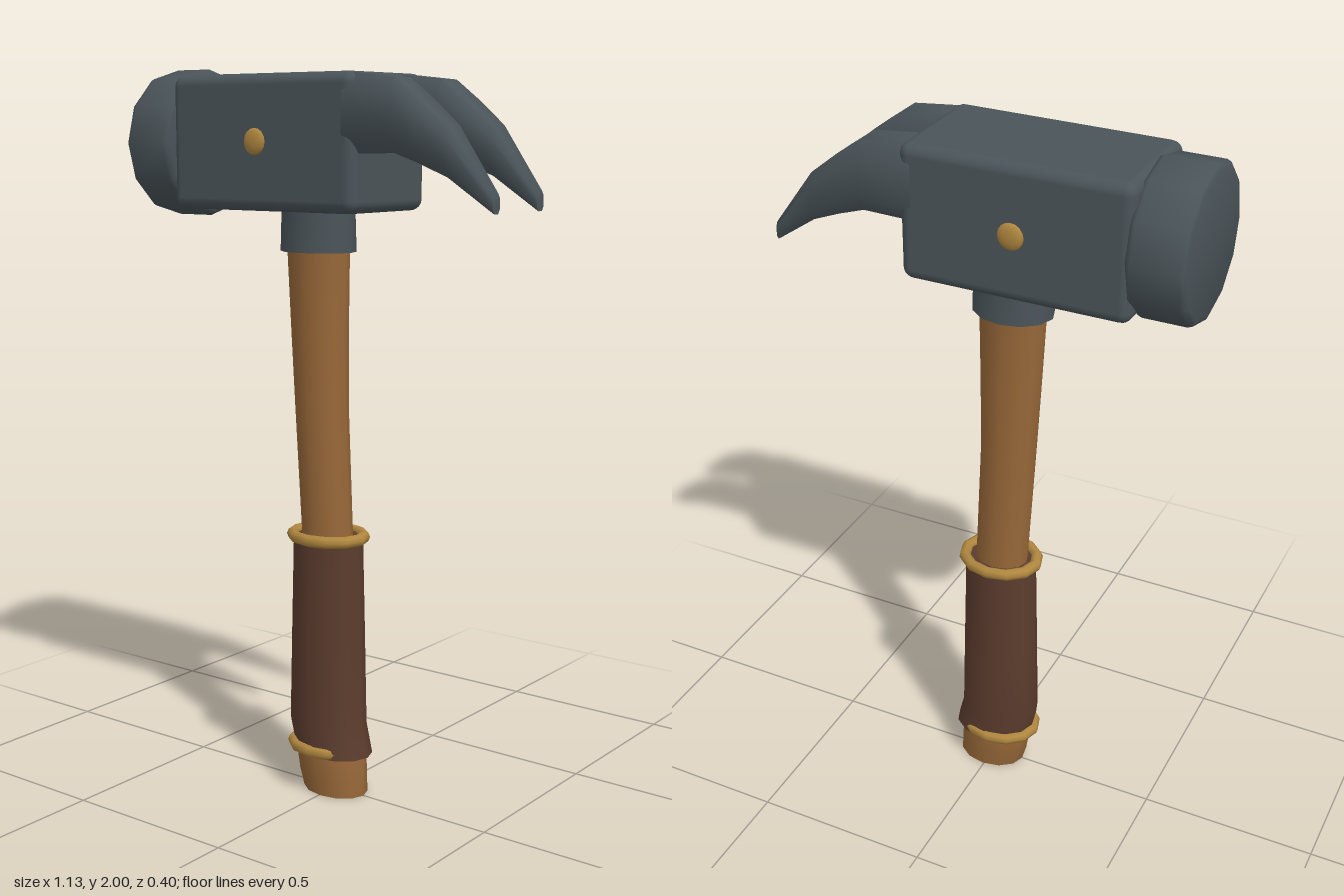
import * as THREE from 'three';
import { toCreasedNormals } from 'three/addons/utils/BufferGeometryUtils.js';
import { RoundedBoxGeometry } from 'three/addons/geometries/RoundedBoxGeometry.js';

const CREASE = 0.9;

function material(name, color) {
  const m = new THREE.MeshStandardMaterial({ color });
  m.name = name;
  return m;
}

// Unit cross-sections, counter-clockwise about +y
const round = Array.from({ length: 12 }, (_, i) => {
  const a = (i / 12) * Math.PI * 2;
  return [Math.sin(a), Math.cos(a)];
});
const octagon = [[-0.55, 1], [0.55, 1], [1, 0.55], [1, -0.55], [0.55, -1], [-0.55, -1], [-1, -0.55], [-1, 0.55]];

// Closed solid through sections [height, minX, maxX, halfZ]
function loft(sections, shape) {
  const n = shape.length, pos = [], index = [];
  for (const [y, x0, x1, hz] of sections)
    for (const [sx, sz] of shape) pos.push((x0 + x1) / 2 + (sx * (x1 - x0)) / 2, y, sz * hz);
  const last = sections.length - 1;
  for (let i = 0; i < last; i++)
    for (let j = 0; j < n; j++) {
      const k = (j + 1) % n, a = i * n + j, b = i * n + k;
      index.push(a, b, b + n, a, b + n, a + n);
    }
  // End caps
  for (const i of [0, last]) {
    const [y, x0, x1] = sections[i], c = pos.length / 3;
    pos.push((x0 + x1) / 2, y, 0);
    for (let j = 0; j < n; j++) {
      const a = i * n + j, b = i * n + ((j + 1) % n);
      if (i === 0) index.push(c, b, a);
      else index.push(c, a, b);
    }
  }
  const g = new THREE.BufferGeometry();
  g.setAttribute('position', new THREE.Float32BufferAttribute(pos, 3));
  g.setIndex(index);
  return toCreasedNormals(g, CREASE);
}

export function createModel() {
  const model = new THREE.Group();
  model.name = 'clawHammer';
  const steel = material('dark steel', 0x4a5459);
  const wood = material('wood', 0x986839);
  const leather = material('brown leather', 0x5c3c2e);
  const brass = material('brass', 0xb0873f);

  const add = (name, geometry, mat, x = 0, y = 0, z = 0) => {
    const mesh = new THREE.Mesh(geometry, mat);
    mesh.name = name;
    mesh.position.set(x, y, z);
    model.add(mesh);
    return mesh;
  };

  // Head block
  add('headBlock', new RoundedBoxGeometry(0.61, 0.355, 0.33, 3, 0.03), steel, -0.125, 1.802, 0);

  // Striking face: bevelled twelve-sided disc
  const profile = [[0, -0.075], [0.184, -0.075], [0.195, -0.07], [0.2, -0.058], [0.2, 0.058], [0.195, 0.07], [0.184, 0.075], [0, 0.075]];
  const disc = new THREE.LatheGeometry(profile.map(([r, y]) => new THREE.Vector2(r, y)), 12);
  add('strikingFace', toCreasedNormals(disc, CREASE), steel, -0.495, 1.8, 0).rotation.z = -Math.PI / 2;

  // Two curved claws, lofted along x: [x, -top, -bottom, halfZ]
  const claw = loft([
    [0.125, -1.972, -1.79, 0.058],
    [0.15, -1.977, -1.775, 0.062],
    [0.29, -1.962, -1.778, 0.062],
    [0.365, -1.908, -1.752, 0.055],
    [0.442, -1.846, -1.72, 0.044],
    [0.565, -1.684, -1.635, 0.016],
  ], octagon);
  for (const [side, s] of [['front', 1], ['back', -1]])
    add(side + 'Claw', claw, steel, 0, 0, s * 0.104).rotation.z = -Math.PI / 2;

  // Rivets on both cheeks
  for (const [side, s] of [['front', 1], ['back', -1]])
    add(side + 'Rivet', new THREE.SphereGeometry(0.035, 12, 8), brass, -0.128, 1.805, s * 0.177).scale.z = 0.34;

  // Collar below the head
  add('collar', loft([[1.515, -0.165, 0.055, 0.088], [1.65, -0.16, 0.05, 0.086]], round), steel);

  // Slightly curved wooden handle
  add('handle', loft([
    [0, -0.094, 0.102, 0.072],
    [0.05, -0.108, 0.1, 0.077],
    [0.115, -0.118, 0.096, 0.08],
    [0.25, -0.11, 0.07, 0.07],
    [0.74, -0.1, 0.05, 0.062],
    [1.1, -0.122, 0.034, 0.065],
    [1.3, -0.134, 0.034, 0.067],
    [1.54, -0.147, 0.037, 0.071],
  ], round), wood);

  // Leather grip with a flared lower end
  add('grip', loft([
    [0.115, -0.118, 0.115, 0.088],
    [0.2, -0.138, 0.094, 0.09],
    [0.45, -0.132, 0.088, 0.087],
    [0.738, -0.124, 0.08, 0.084],
  ], round), leather);

  // Brass bands at both ends of the grip
  for (const [name, y] of [['upperBand', 0.735], ['lowerBand', 0.13]]) {
    const band = new THREE.TorusGeometry(0.105, 0.017, 8, 12);
    band.rotateX(Math.PI / 2);
    add(name, band, brass, -0.022, y, 0).scale.set(1, 1, 0.84);
  }

  return model;
}
